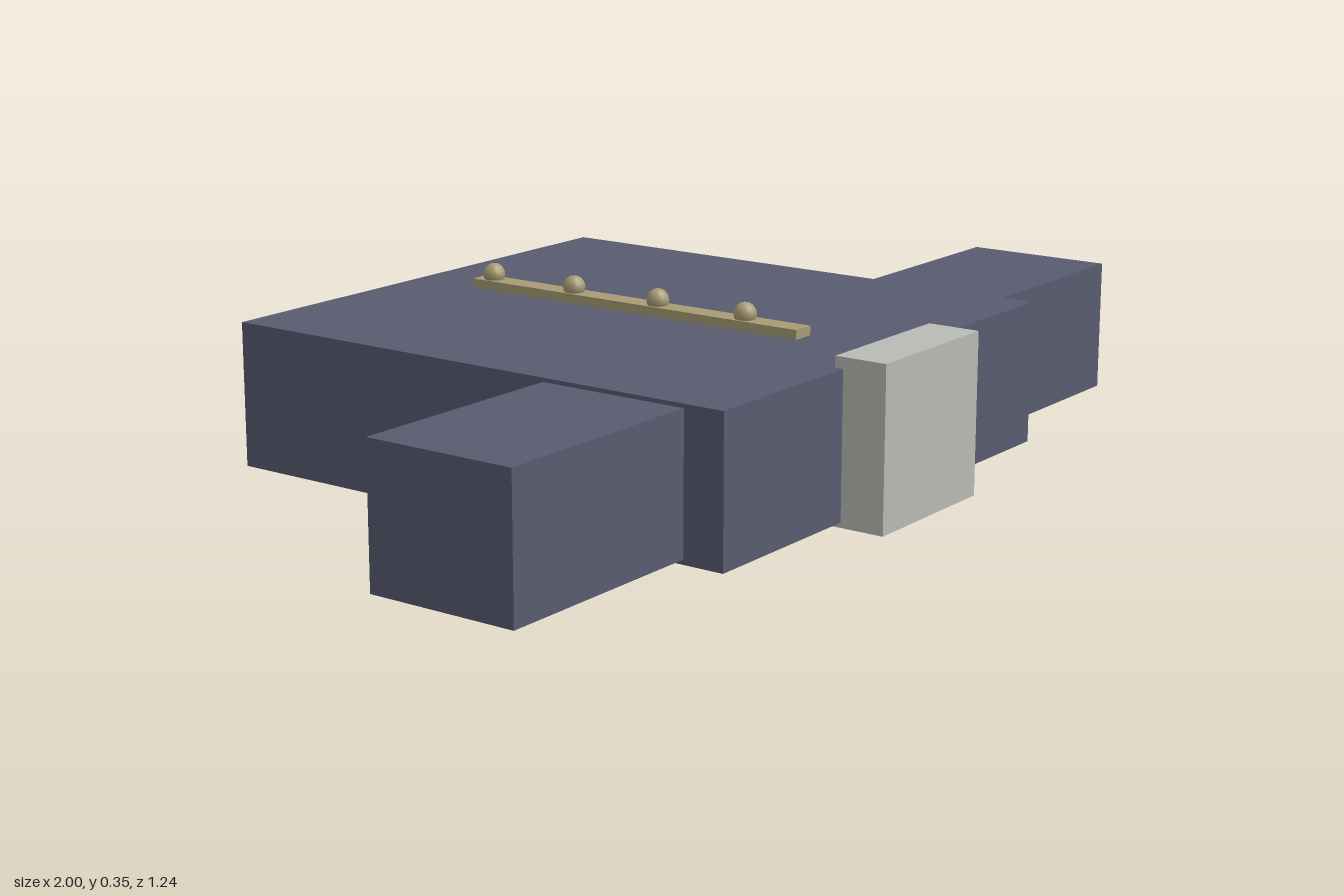
import * as THREE from 'three';

function material(name, color) {
  const m = new THREE.MeshStandardMaterial({ color });
  m.name = name;
  return m;
}

export function createModel() {
  const group = new THREE.Group();
  group.name = 'shirt';
  const fabric = material('slate fabric', 0x575c6f);
  const pale = material('pale grey collar', 0xbabab5);
  const brass = material('dull brass', 0xa89c74);

  // Box given by its lower and upper corners
  function box(name, [x0, y0, z0], [x1, y1, z1], mat) {
    const mesh = new THREE.Mesh(new THREE.BoxGeometry(x1 - x0, y1 - y0, z1 - z0), mat);
    mesh.position.set((x0 + x1) / 2, (y0 + y1) / 2, (z0 + z1) / 2);
    mesh.name = name;
    group.add(mesh);
  }

  // Torso and collar
  box('body', [-0.537, 0.01, -0.618], [0.537, 0.3, 0.527], fabric);
  box('collar', [-0.164, 0, 0.51], [0.164, 0.322, 0.618], pale);

  // Sleeves, reaching slightly into the body
  box('leftSleeve', [0.5, 0.02, 0.132], [1, 0.292, 0.443], fabric);
  box('rightSleeve', [-1, 0.02, 0.132], [-0.5, 0.292, 0.443], fabric);

  // Button strip with four round buttons
  box('placket', [-0.024, 0.29, -0.465], [0.024, 0.319, 0.332], brass);
  const buttonGeometry = new THREE.SphereGeometry(0.023, 12, 8);
  for (let i = 0; i < 4; i++) {
    const button = new THREE.Mesh(buttonGeometry, brass);
    button.position.set(0, 0.329, 0.198 - i * 0.209);
    button.name = 'button' + (i + 1);
    group.add(button);
  }
  return group;
}
